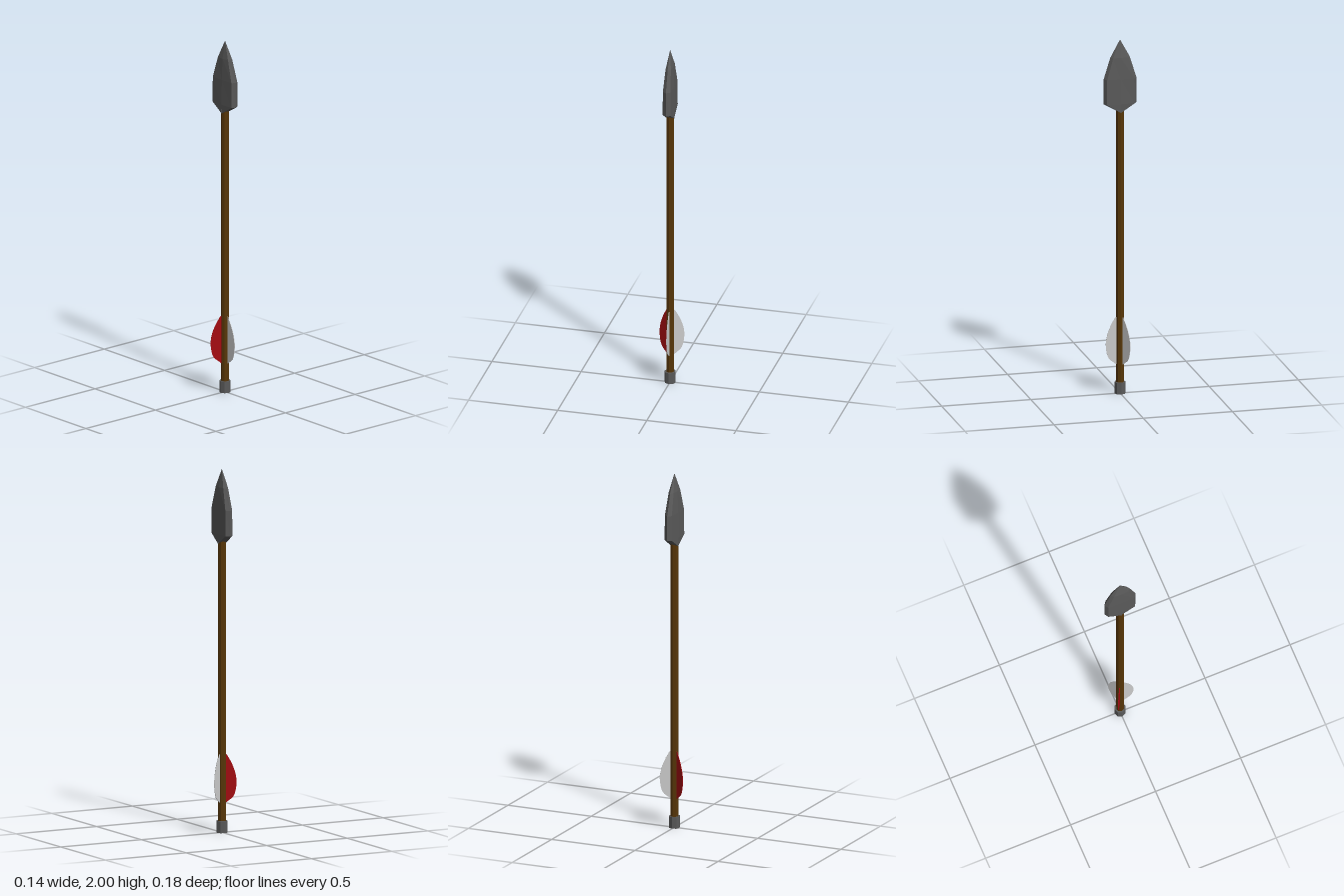
import * as THREE from 'three';

const material = (color, side = THREE.FrontSide) =>
  new THREE.MeshStandardMaterial({ color, side, flatShading: true });

function addPart(group, name, geometry, mat) {
  const mesh = new THREE.Mesh(geometry, mat);
  mesh.name = name;
  group.add(mesh);
  return mesh;
}

// Eight-sided blade section: central ridge, shoulder and sharp edge on each side
function bladeRing(y, ridge, shoulderX, shoulderZ, edge) {
  return [
    [ridge, y, 0], [shoulderX, y, shoulderZ], [0, y, edge], [-shoulderX, y, shoulderZ],
    [-ridge, y, 0], [-shoulderX, y, -shoulderZ], [0, y, -edge], [shoulderX, y, -shoulderZ],
  ];
}

// Joins rings, listed from top to bottom, into flat facets
function loft(rings) {
  const positions = [];
  for (let i = 0; i < rings.length - 1; i++) {
    const upper = rings[i], lower = rings[i + 1];
    for (let k = 0; k < upper.length; k++) {
      const n = (k + 1) % upper.length;
      positions.push(...upper[k], ...upper[n], ...lower[k]);
      positions.push(...upper[n], ...lower[n], ...lower[k]);
    }
  }
  const geometry = new THREE.BufferGeometry();
  geometry.setAttribute('position', new THREE.Float32BufferAttribute(positions, 3));
  geometry.computeVertexNormals();
  return geometry;
}

export function createModel() {
  const group = new THREE.Group();
  const darkMetal = material(0x5a5a5a);

  // Shaft and end cap, both octagonal with a corner towards +x
  const shaft = new THREE.CylinderGeometry(0.022, 0.022, 1.58, 8).translate(0, 0.83, 0);
  addPart(group, 'shaft', shaft, material(0x573608));
  const nock = new THREE.CylinderGeometry(0.031, 0.031, 0.065, 8).translate(0, 0.0325, 0);
  addPart(group, 'nock', nock, darkMetal);

  // Broad head, thin in x, closing to a V at its base
  addPart(group, 'arrowhead', loft([
    bladeRing(2.0, 0, 0, 0, 0),
    bladeRing(1.9, 0.018, 0.015, 0.042, 0.055),
    bladeRing(1.78, 0.023, 0.021, 0.077, 0.092),
    bladeRing(1.64, 0.025, 0.022, 0.078, 0.092),
    bladeRing(1.59, 0.025, 0.022, 0, 0),
  ]), darkMetal);

  // Three thin vanes at 120 degrees, one of them red
  const vane = new THREE.Shape();
  vane.moveTo(0.015, 0.435);
  vane.lineTo(0.026, 0.43);
  vane.quadraticCurveTo(0.078, 0.35, 0.08, 0.28);
  vane.quadraticCurveTo(0.077, 0.21, 0.055, 0.19);
  vane.lineTo(0.022, 0.165);
  vane.lineTo(0.015, 0.165);
  vane.closePath();
  const vaneGeometry = new THREE.ExtrudeGeometry(vane, { depth: 0.003, bevelEnabled: false, curveSegments: 5 })
    .translate(0, 0, -0.0015);
  const grey = material(0xcccccc, THREE.DoubleSide);
  const red = material(0xa80d12, THREE.DoubleSide);
  [['frontVane', -90, grey], ['leftVane', 30, grey], ['rightVane', 150, red]].forEach(([name, angle, mat]) => {
    addPart(group, name, vaneGeometry, mat).rotation.y = THREE.MathUtils.degToRad(angle);
  });

  return group;
}
